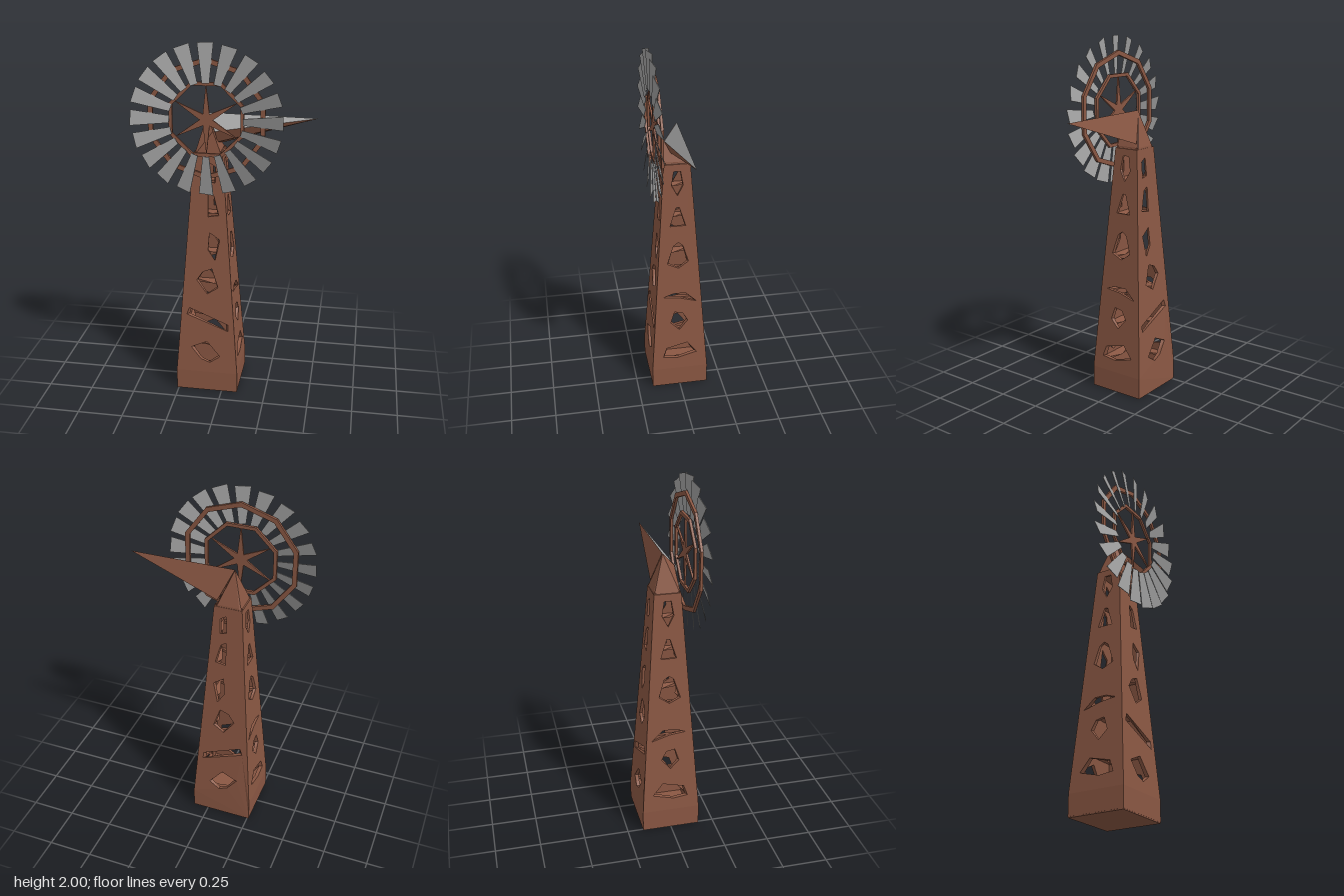
import * as THREE from 'three';
import { ConvexGeometry } from 'three/addons/geometries/ConvexGeometry.js';

const CX = -0.085; // tower and wheel axis
const V = (x, y, z) => new THREE.Vector3(x, y, z);

export function createModel() {
  const group = new THREE.Group();
  const rust = new THREE.MeshStandardMaterial({ color: 0x8a5743, flatShading: true, side: THREE.DoubleSide });
  rust.name = 'rusty brown';
  const steel = new THREE.MeshStandardMaterial({ color: 0xa0a0a0, flatShading: true, side: THREE.DoubleSide });
  steel.name = 'steel grey';
  const add = (name, geo, mat, parent = group) => {
    const m = new THREE.Mesh(geo, mat);
    m.name = name;
    parent.add(m);
    return m;
  };
  const polygon = (pts, Type = THREE.Shape) => new Type(pts.map(p => new THREE.Vector2(p[0], p[1])));

  // Tower half widths at a height
  const taper = (y) => Math.max(0, y - 0.12) / 1.28;
  const halfX = (y) => 0.175 - 0.097 * taper(y);
  const halfZ = (y) => 0.163 - 0.09 * taper(y);

  // Openings between the braces, as (share of half width, height)
  const sideHoles = [
    [[-0.65, 0.22], [0.1, 0.19], [0.62, 0.2], [0.5, 0.26], [-0.3, 0.29]],
    [[-0.35, 0.44], [0.0, 0.38], [0.35, 0.43], [0.2, 0.5], [-0.15, 0.49]],
    [[-0.78, 0.56], [0.0, 0.59], [0.7, 0.6], [0.25, 0.62], [-0.3, 0.62]],
    [[-0.5, 0.82], [0.0, 0.78], [0.55, 0.81], [0.25, 0.92], [0.0, 0.94], [-0.25, 0.92]],
    [[-0.45, 1.04], [0.45, 1.04], [0.1, 1.15], [-0.1, 1.15]],
    [[-0.4, 1.28], [0.0, 1.22], [0.4, 1.28], [0.25, 1.36], [-0.25, 1.36]],
  ];
  const frontHoles = [
    [[-0.55, 0.27], [-0.2, 0.2], [0.1, 0.18], [0.45, 0.22], [0.0, 0.31]],
    [[-0.78, 0.47], [0.78, 0.38], [0.78, 0.42], [-0.7, 0.51]],
    [[-0.45, 0.68], [0.0, 0.6], [0.45, 0.64], [0.2, 0.75], [-0.2, 0.73]],
    [[0.03, 0.86], [0.35, 0.8], [0.6, 0.92], [0.1, 0.96]],
    [[0.03, 1.05], [0.6, 1.06], [0.35, 1.17], [0.03, 1.19]],
    [[0.03, 1.25], [0.45, 1.24], [0.5, 1.33], [0.1, 1.35]],
  ];
  const mirrored = (holes) => holes.map(h => h.map(([u, y]) => [-u, y]));

  // One pierced wall, bent onto the tapered tower
  function wall(turn, holes) {
    const levels = [0.006, 0.12, 1.4];
    const outline = polygon([...levels.map(y => [1, y]), ...levels.slice().reverse().map(y => [-1, y])]);
    outline.holes = holes.map(h => polygon(h, THREE.Path));
    const geo = new THREE.ExtrudeGeometry(outline, { depth: 1, bevelEnabled: false });
    const p = geo.attributes.position, c = Math.cos(turn), s = Math.sin(turn);
    for (let i = 0; i < p.count; i++) {
      const outer = p.getZ(i) > 0.5 ? 1 : 0.88;
      const y = p.getY(i), u = p.getX(i) * outer;
      p.setXYZ(i, CX + (u * c + outer * s) * halfX(y), y, (-u * s + outer * c) * halfZ(y));
    }
    geo.computeVertexNormals();
    return geo;
  }
  const tower = new THREE.Group();
  tower.name = 'tower';
  group.add(tower);
  add('frontWall', wall(0, frontHoles), rust, tower);
  add('backWall', wall(Math.PI, mirrored(frontHoles)), rust, tower);
  add('leftWall', wall(Math.PI / 2, mirrored(sideHoles)), rust, tower);
  add('rightWall', wall(-Math.PI / 2, sideHoles), rust, tower);
  add('base', new THREE.BoxGeometry(0.348, 0.012, 0.324), rust, tower).position.set(CX, 0.006, 0);

  // Wedge shaped cross braces at each stage inside the tower
  for (const y of [0.14, 0.345, 0.56, 0.76, 1.0, 1.2, 1.385]) {
    const x = halfX(y) * 0.95, z = halfZ(y) * 0.95;
    for (const [sx, sz] of [[1, 0], [-1, 0], [0, 1], [0, -1]]) {
      const along = sx ? V(0, 0, z) : V(x, 0, 0);
      const mid = V(CX + sx * x * 0.9, y, sz * z * 0.9);
      const inward = V(-sx * x * 0.35, 0.012, -sz * z * 0.35);
      const ends = [mid.clone().add(along), mid.clone().sub(along)];
      const pts = [...ends, ...ends.map(e => e.clone().add(V(0, 0.025, 0))), mid.clone().add(inward)];
      add('crossBrace', new ConvexGeometry(pts), rust, tower);
    }
  }

  // Peaked head on top of the tower
  add('head', new ConvexGeometry([
    V(CX - 0.075, 1.385, 0.073), V(CX + 0.075, 1.385, 0.073),
    V(CX - 0.075, 1.385, -0.073), V(CX + 0.075, 1.385, -0.073),
    V(CX - 0.06, 1.41, -0.07), V(CX + 0.06, 1.41, -0.07),
    V(-0.1, 1.6, -0.012), V(-0.06, 1.52, 0.06),
  ]), rust);

  // Long tail vane running to a point, with one grey face
  const ridge = V(-0.1, 1.603, -0.015), front = V(-0.05, 1.52, 0.062);
  const low = V(-0.04, 1.455, 0.03), back = V(-0.02, 1.43, -0.06), tip = V(0.488, 1.595, -0.008);
  const faces = (...pts) => {
    const g = new THREE.BufferGeometry().setFromPoints(pts);
    g.computeVertexNormals();
    return g;
  };
  add('tailVaneFace', faces(ridge, front, tip), steel);
  add('tailVane', faces(front, low, tip, low, back, tip, back, ridge, tip,
    ridge, back, low, ridge, low, front), rust);

  // Wheel with star hub, two faceted rims and pitched blades
  const wheel = new THREE.Group();
  wheel.name = 'wheel';
  wheel.position.set(CX, 1.595, 0.113);
  group.add(wheel);

  const star = polygon(Array.from({ length: 12 }, (_, i) => {
    const a = Math.PI / 2 + i * Math.PI / 6, r = i % 2 ? 0.035 : 0.19;
    return [Math.cos(a) * r, Math.sin(a) * r];
  }));
  add('starHub', new THREE.ExtrudeGeometry(star, { depth: 0.01, bevelEnabled: false }), rust, wheel).position.z = -0.005;

  const rim = (name, radius, width, sides) => {
    const ring = (r, Type) => polygon(Array.from({ length: sides }, (_, i) => {
      const a = (i + 0.5) / sides * Math.PI * 2;
      return [Math.cos(a) * r, Math.sin(a) * r];
    }), Type);
    const shape = ring(radius, THREE.Shape);
    shape.holes = [ring(radius - width, THREE.Path)];
    add(name, new THREE.ExtrudeGeometry(shape, { depth: 0.014, bevelEnabled: false }), rust, wheel).position.z = -0.007;
  };
  rim('outerRim', 0.325, 0.026, 10);
  rim('innerRim', 0.215, 0.02, 8);

  const bladeShape = polygon([[-0.019, 0.195], [0.019, 0.195], [0.042, 0.404], [-0.042, 0.404]]);
  const bladeGeo = new THREE.ExtrudeGeometry(bladeShape, { depth: 0.003, bevelEnabled: false });
  bladeGeo.rotateY(0.28);
  for (let i = 0; i < 20; i++) {
    const blade = add('blade', bladeGeo, steel, wheel);
    blade.position.z = 0.016;
    blade.rotation.z = i * Math.PI / 10;
  }
  return group;
}
